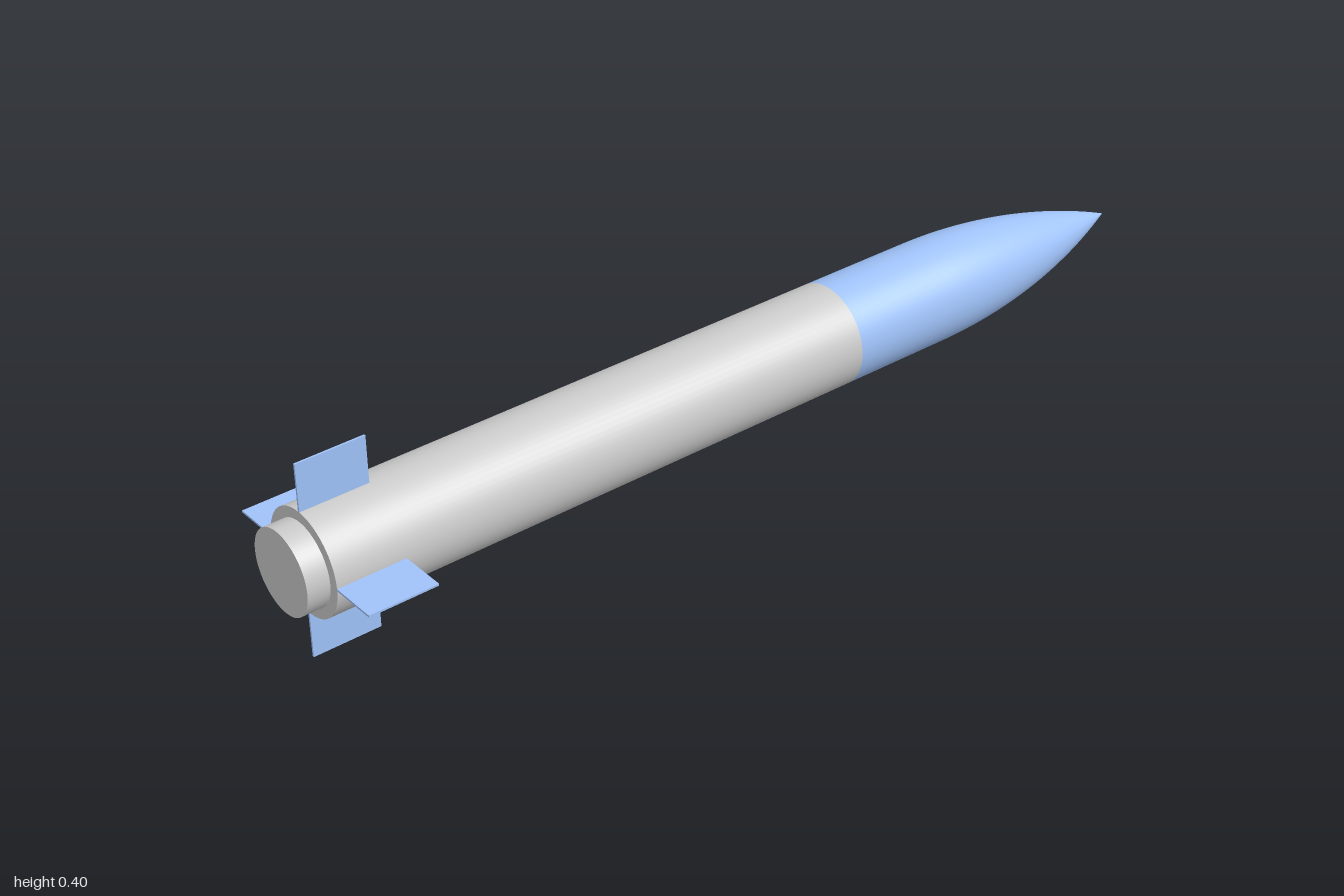
import * as THREE from 'three';

export function createModel() {
  const group = new THREE.Group();
  const grey = new THREE.MeshStandardMaterial({ color: 0xcccccc });
  const blue = new THREE.MeshStandardMaterial({ color: 0xa0c3fa });
  const R = 0.104, AXIS_Y = 0.2, SIDES = 64;

  // Everything is built along the x axis, then lifted to its height
  const add = (name, geometry, material) => {
    const mesh = new THREE.Mesh(geometry, material);
    mesh.name = name;
    group.add(mesh);
    return mesh;
  };
  const tube = (radius, x0, x1) =>
    new THREE.CylinderGeometry(radius, radius, x1 - x0, SIDES)
      .rotateZ(-Math.PI / 2)
      .translate((x0 + x1) / 2, 0, 0);

  // Main body and the narrower nozzle at the tail
  add('body', tube(R, -0.955, 0.23), grey);
  add('nozzle', tube(0.083, -1, -0.95), grey);

  // Nose: straight collar, then a tangent ogive to a sharp tip
  const start = 0.48, length = 1 - start;
  const rho = (R * R + length * length) / (2 * R);
  const profile = [new THREE.Vector2(R, 0.23)];
  for (let i = 0; i <= 24; i++) {
    const t = (length * i) / 24;
    const r = Math.sqrt(rho * rho - t * t) + R - rho;
    profile.push(new THREE.Vector2(Math.max(r, 0), start + t));
  }
  add('nose', new THREE.LatheGeometry(profile, SIDES).rotateZ(-Math.PI / 2), blue);

  // Four thin rectangular tail fins
  for (let i = 0; i < 4; i++) {
    const fin = new THREE.BoxGeometry(0.14, 0.1, 0.004).translate(-0.885, 0.15, 0);
    add('tailFin' + (i + 1), fin, blue).rotation.x = (i * Math.PI) / 2;
  }

  group.children.forEach((mesh) => { mesh.position.y = AXIS_Y; });
  return group;
}
